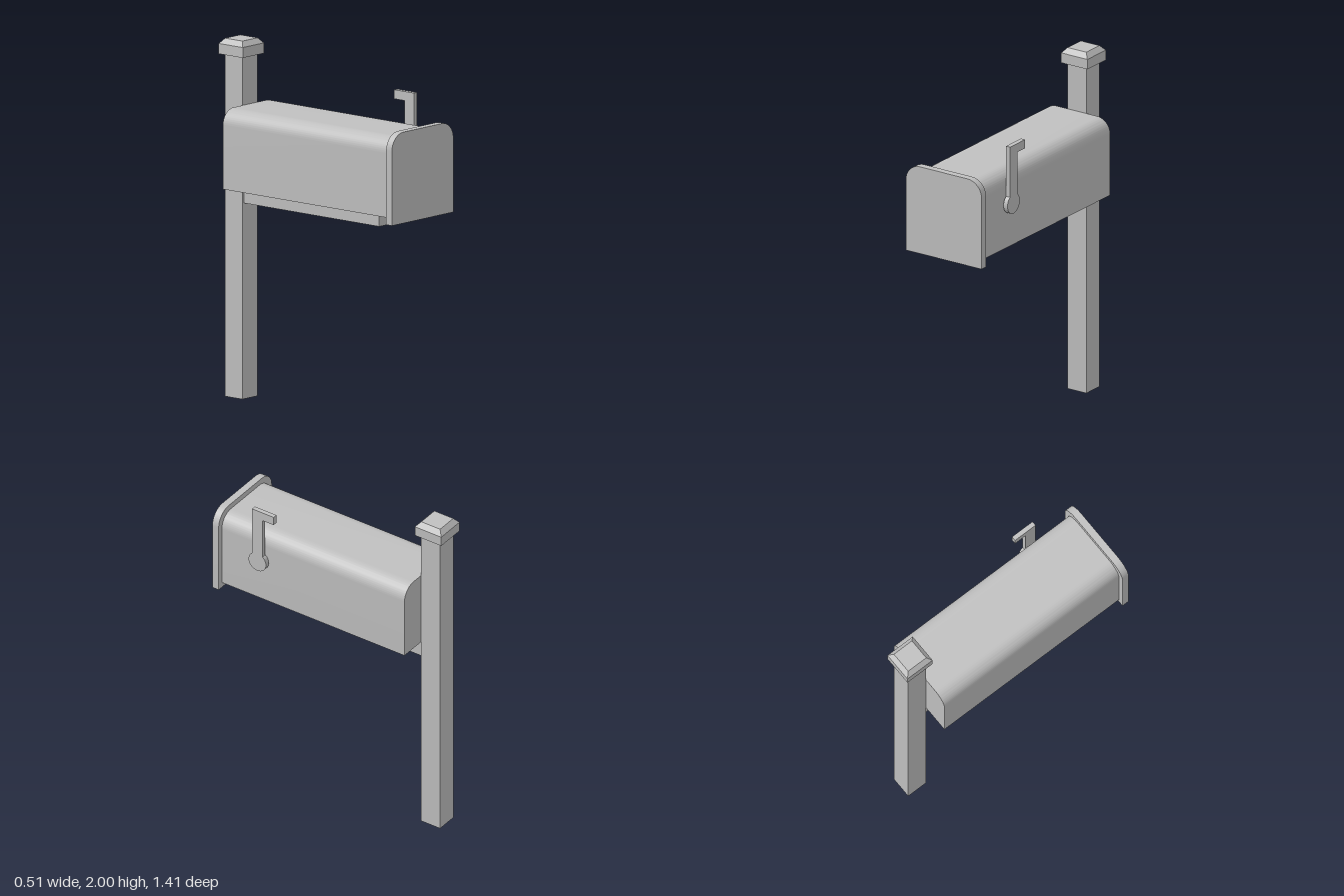
import * as THREE from 'three';
import { toCreasedNormals } from 'three/addons/utils/BufferGeometryUtils.js';

export function createModel() {
  const group = new THREE.Group();
  const grey = new THREE.MeshStandardMaterial({ color: 0xc0c0c0 });
  grey.name = 'plain grey';
  const CX = -0.002; // centre line of post and box
  const POST_Z = -0.618;

  function add(name, geometry) {
    const mesh = new THREE.Mesh(geometry, grey);
    mesh.name = name;
    group.add(mesh);
    return mesh;
  }

  // Box given by its extents
  function block(name, x0, x1, y0, y1, z0, z1) {
    add(name, new THREE.BoxGeometry(x1 - x0, y1 - y0, z1 - z0))
      .position.set((x0 + x1) / 2, (y0 + y1) / 2, (z0 + z1) / 2);
  }

  // Upright section with rounded top corners, run along z
  function roundedTop(name, halfW, y0, y1, r, z0, z1) {
    const s = new THREE.Shape();
    s.moveTo(-halfW, y0);
    s.lineTo(halfW, y0);
    s.lineTo(halfW, y1 - r);
    s.absarc(halfW - r, y1 - r, r, 0, Math.PI / 2, false);
    s.lineTo(-halfW + r, y1);
    s.absarc(-halfW + r, y1 - r, r, Math.PI / 2, Math.PI, false);
    s.closePath();
    const g = new THREE.ExtrudeGeometry(s, { depth: z1 - z0, bevelEnabled: false, curveSegments: 12 });
    add(name, toCreasedNormals(g, 0.5)).position.set(CX, 0, z0);
  }

  // Post with a chamfered cap
  block('post', CX - 0.063, CX + 0.063, 0, 1.92, POST_Z - 0.063, POST_Z + 0.063);
  block('capBase', CX - 0.088, CX + 0.088, 1.913, 1.971, POST_Z - 0.088, POST_Z + 0.088);
  const top = new THREE.CylinderGeometry(0.063 * Math.SQRT2, 0.088 * Math.SQRT2, 0.029, 4).toNonIndexed();
  top.rotateY(Math.PI / 4);
  top.computeVertexNormals();
  add('capTop', top).position.set(CX, 1.9855, POST_Z);

  // Support arm, letter box and door
  block('supportArm', CX - 0.051, CX + 0.051, 1.094, 1.197, -0.555, 0.434);
  roundedTop('mailboxBody', 0.223, 1.197, 1.641, 0.085, -0.555, 0.664);
  roundedTop('door', 0.254, 1.165, 1.674, 0.095, 0.664, 0.706);

  // Signal flag on the left side: round hub, stem and backward hook
  const hubZ = 0.405, hubY = 1.457, hubR = 0.058, half = 0.0345;
  const a = Math.acos(half / hubR);
  const f = new THREE.Shape();
  f.moveTo(hubZ - half, 1.747);
  f.lineTo(0.296, 1.747);
  f.lineTo(0.296, 1.798);
  f.lineTo(hubZ + half, 1.798);
  f.lineTo(hubZ + half, hubY + hubR * Math.sin(a));
  f.absarc(hubZ, hubY, hubR, a, Math.PI - a, true);
  f.closePath();
  const flag = new THREE.ExtrudeGeometry(f, { depth: 0.027, bevelEnabled: false, curveSegments: 24 });
  flag.rotateY(-Math.PI / 2);
  add('flag', toCreasedNormals(flag, 0.5)).position.x = 0.254;

  // Pivot joining the flag to the body
  const pivot = new THREE.CylinderGeometry(0.04, 0.04, 0.02, 24);
  pivot.rotateZ(Math.PI / 2);
  add('flagPivot', pivot).position.set(0.222, hubY, hubZ);

  return group;
}
